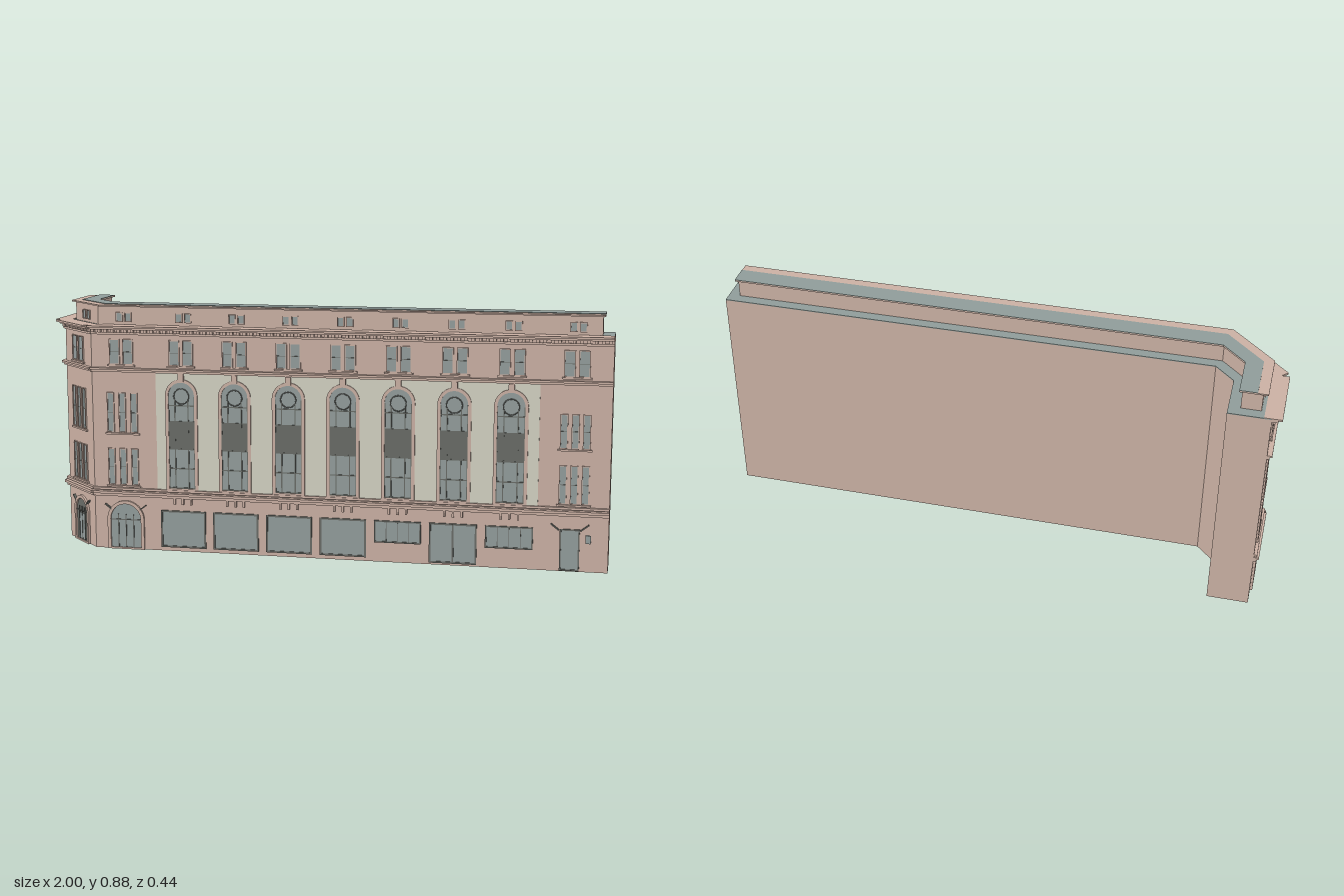
import * as THREE from 'three';

const mat = (name, color, side = THREE.FrontSide) => {
  const m = new THREE.MeshStandardMaterial({ color, side });
  m.name = name;
  return m;
};

export function createModel() {
  const stone = mat('pink stone', 0xcab0a3);
  const cream = mat('cream stone', 0xd3d1c2);
  const glass = mat('grey glass', 0x929c9b);
  const roof = mat('roof grey', 0x8f9c99);
  const dark = mat('dark metal', 0x686b66);

  const model = new THREE.Group();
  model.name = 'building';

  const add = (parent, name, geometry, material, x = 0, y = 0, z = 0) => {
    const mesh = new THREE.Mesh(geometry, material);
    mesh.name = name;
    mesh.position.set(x, y, z);
    parent.add(mesh);
    return mesh;
  };

  // Prism over a plan outline given as [x, z] points
  const prism = (name, outline, y0, y1, material) => {
    const shape = new THREE.Shape(outline.map(([x, z]) => new THREE.Vector2(x, -z)));
    const g = new THREE.ExtrudeGeometry(shape, { depth: y1 - y0, bevelEnabled: false });
    g.rotateX(-Math.PI / 2);
    add(model, name, g, material, 0, y0, 0);
  };

  // Box from its x centre, width, y range and z range on a facade
  const block = (f, name, x, w, y0, y1, z0, z1, m) =>
    add(f, name, new THREE.BoxGeometry(w, y1 - y0, z1 - z0), m, x, (y0 + y1) / 2, (z0 + z1) / 2);

  const archPath = (Type, w, y0, y1) => {
    const r = w / 2, p = new Type();
    p.moveTo(-r, y0);
    p.lineTo(r, y0);
    p.lineTo(r, y1 - r);
    p.absarc(0, y1 - r, r, 0, Math.PI, false);
    p.lineTo(-r, y0);
    return p;
  };

  const archPlate = (f, name, x, w, y0, y1, z, depth, m, border = 0) => {
    const s = archPath(THREE.Shape, w, y0, y1);
    if (border) s.holes.push(archPath(THREE.Path, w - 2 * border, y0 + border / 2, y1 - border));
    const g = new THREE.ExtrudeGeometry(s, { depth, bevelEnabled: false, curveSegments: 12 });
    return add(f, name, g, m, x, 0, z);
  };

  // Rectangular window: pane, surround and evenly spaced bars
  const windowAt = (f, x, w, y0, y1, { cols = 1, rows = 1, t = 0.003, rim = dark } = {}) => {
    block(f, 'windowPane', x, w, y0, y1, 0, 0.002, glass);
    for (const s of [-1, 1]) block(f, 'windowJamb', x + s * w / 2, t, y0, y1, 0, 0.005, rim);
    for (const y of [y0, y1]) block(f, 'windowRail', x, w + t, y - t / 2, y + t / 2, 0, 0.005, rim);
    for (let i = 1; i < cols; i++) block(f, 'windowBar', x - w / 2 + w * i / cols, 0.002, y0, y1, 0, 0.004, dark);
    for (let i = 1; i < rows; i++) {
      const y = y0 + (y1 - y0) * i / rows;
      block(f, 'windowBar', x, w, y - 0.001, y + 0.001, 0, 0.004, dark);
    }
  };

  const pairedWindows = (f, x) => {
    for (const s of [-1, 1]) windowAt(f, x + s * 0.0245, 0.035, 0.668, 0.755, { rows: 2, rim: stone });
    block(f, 'windowSill', x, 0.1, 0.66, 0.666, 0, 0.008, stone);
  };

  const tripleWindows = (f, x, top, pitch) => {
    for (const [y0, y1] of [[0.235, 0.365], [0.425, top]]) {
      for (const i of [-1, 0, 1]) windowAt(f, x + i * pitch, 0.023, y0, y1, { rows: 2, rim: stone });
      block(f, 'windowSill', x, pitch * 2 + 0.04, y0 - 0.009, y0 - 0.003, 0, 0.007, stone);
    }
  };

  const atticWindows = (f, x) => {
    for (const s of [-1, 1]) windowAt(f, x + s * 0.016, 0.022, 0.815, 0.845, { rim: stone });
  };

  const archedDoor = (f, x, w, top, leaf) => {
    archPlate(f, 'doorSurround', x, w + 0.024, 0, top + 0.012, 0, 0.008, stone, 0.012);
    archPlate(f, 'doorGlass', x, w, 0, top, 0, 0.002, leaf);
    for (const i of [-1, 0, 1]) block(f, 'doorBar', x + i * w / 4, 0.003, 0, top - w / 3, 0, 0.005, dark);
    block(f, 'doorTransom', x, w, top - w / 2 - 0.003, top - w / 2, 0, 0.005, dark);
    // Angled wall lamps either side of the arch
    for (const s of [-1, 1]) {
      block(f, 'lampArm', x + s * (w / 2 + 0.008), 0.03, 0.152, 0.156, 0, 0.009, dark).rotation.z = s * 0.65;
    }
  };

  // Horizontal mouldings shared by every street facade
  const mouldings = (f, x, len) => {
    block(f, 'corniceTop', x, len, 0.798, 0.805, -0.025, 0.035, stone);
    block(f, 'corniceStep', x, len, 0.791, 0.798, 0, 0.022, stone);
    block(f, 'corniceBase', x, len, 0.772, 0.78, 0, 0.006, stone);
    const n = Math.round(len / 0.024);
    for (let i = 0; i < n; i++) {
      block(f, 'dentil', x - len / 2 + (i + 0.5) * len / n, 0.011, 0.78, 0.791, 0, 0.013, stone);
    }
    block(f, 'upperCourse', x, len, 0.648, 0.655, 0, 0.017, stone);
    block(f, 'upperCourseBase', x, len, 0.64, 0.648, 0, 0.008, stone);
    block(f, 'lowerCourse', x, len, 0.203, 0.212, 0, 0.018, stone);
    block(f, 'lowerCourseBase', x, len, 0.193, 0.203, 0, 0.01, stone);
    block(f, 'sillCourse', x, len, 0.216, 0.224, 0, 0.011, stone);
  };

  const facade = (name, x, z, angle) => {
    const g = new THREE.Group();
    g.name = name;
    g.position.set(x, 0, z);
    g.rotation.y = angle;
    model.add(g);
    return g;
  };

  // Main mass, set-back attic and roofs
  const body = [[1, 0.18], [-0.815, 0.18], [-0.965, 0.03], [-0.965, -0.22],
    [-0.82, -0.22], [-0.82, -0.033], [-0.752, 0.035], [1, 0.035]];
  prism('walls', body, 0, 0.8, stone);
  prism('lowerRoof', body, 0.8, 0.803, roof);
  prism('attic', [[0.96, 0.143], [-0.8, 0.143], [-0.928, 0.015], [-0.928, -0.182],
    [-0.86, -0.182], [-0.86, -0.018], [-0.77, 0.072], [0.96, 0.072]], 0.803, 0.868, stone);
  prism('eaves', [[0.968, 0.165], [-0.79, 0.165], [-0.945, 0.01], [-0.945, -0.187],
    [-0.85, -0.187], [-0.85, -0.022], [-0.768, 0.06], [0.968, 0.06]], 0.868, 0.873, stone);
  prism('upperRoof', [[0.968, 0.13], [-0.775, 0.13], [-0.91, -0.005], [-0.91, -0.187],
    [-0.85, -0.187], [-0.85, -0.022], [-0.768, 0.06], [0.968, 0.06]], 0.873, 0.875, roof);

  // Long front
  const front = facade('frontFacade', 0, 0.18, 0);
  mouldings(front, 0.0915, 1.817);
  block(front, 'creamPanel', 0.09, 1.34, 0.224, 0.64, 0, 0.003, cream);
  const frontAttic = facade('frontAttic', 0, 0.143, 0);

  for (let i = 0; i < 7; i++) {
    const x = -0.487 + i * 0.192;
    // Tall arched bay
    archPlate(front, 'archSurround', x, 0.116, 0.224, 0.62, 0, 0.008, stone, 0.011);
    archPlate(front, 'archGlass', x, 0.095, 0.228, 0.61, 0, 0.0045, glass);
    block(front, 'spandrel', x, 0.094, 0.373, 0.472, 0, 0.0065, dark);
    for (const s of [-1, 1]) {
      block(front, 'mullion', x + s * 0.024, 0.004, 0.23, 0.55, 0, 0.007, dark);
      block(front, 'mullionEdge', x + s * 0.046, 0.003, 0.23, 0.56, 0, 0.007, dark);
    }
    for (const y of [0.23, 0.3, 0.37, 0.525]) block(front, 'transom', x, 0.094, y, y + 0.004, 0, 0.007, dark);
    add(front, 'archRing', new THREE.TorusGeometry(0.027, 0.002, 5, 24), dark, x, 0.56, 0.0055);
    block(front, 'keystone', x, 0.02, 0.612, 0.64, 0, 0.012, stone);
    pairedWindows(front, x);
    atticWindows(frontAttic, x);
    for (const d of [-0.03, 0, 0.03]) block(front, 'bracket', x + d, 0.007, 0.172, 0.193, 0, 0.009, stone);

    // Street level: shop windows, short windows and the wide entrance
    if (i < 4) windowAt(front, x, 0.158, 0.017, 0.145, { t: 0.006 });
    else if (i === 5) {
      windowAt(front, x, 0.158, 0.01, 0.145, { cols: 2, t: 0.006 });
      block(front, 'doorPost', x, 0.006, 0.01, 0.145, 0, 0.006, dark);
    } else windowAt(front, x, 0.158, 0.072, 0.145, { cols: 4, t: 0.005 });
  }

  // End bays of the front
  for (const [x, top, pitch] of [[-0.705, 0.565, 0.043], [0.88, 0.54, 0.038]]) {
    tripleWindows(front, x, top, pitch);
    pairedWindows(front, x);
    atticWindows(frontAttic, x);
  }
  archedDoor(front, -0.7, 0.112, 0.165, glass);
  windowAt(front, 0.87, 0.062, 0.005, 0.145, { t: 0.005 });
  for (const s of [-1, 1]) {
    block(front, 'lampArm', 0.87 + s * 0.05, 0.035, 0.152, 0.156, 0, 0.009, dark).rotation.z = s * 0.65;
  }
  block(front, 'wallPlaque', 0.932, 0.018, 0.1, 0.128, 0, 0.006, glass);

  // Corner and side street facades share one layout
  const narrow = [
    ['corner', -0.89, 0.105, -Math.PI / 4, 0.222, -0.864, 0.079],
    ['side', -0.965, -0.095, -Math.PI / 2, 0.25, -0.928, -0.09],
  ];
  for (const [name, x, z, angle, len, ax, az] of narrow) {
    const f = facade(name + 'Facade', x, z, angle);
    mouldings(f, 0, len);
    tripleWindows(f, 0, 0.57, 0.04);
    pairedWindows(f, 0);
    archedDoor(f, 0, 0.09, 0.16, dark);
    for (const s of [-1, 1]) block(f, 'doorPane', s * 0.011, 0.017, 0.01, 0.105, 0, 0.004, glass);
    atticWindows(facade(name + 'Attic', ax, az, angle), 0);
  }
  return model;
}
